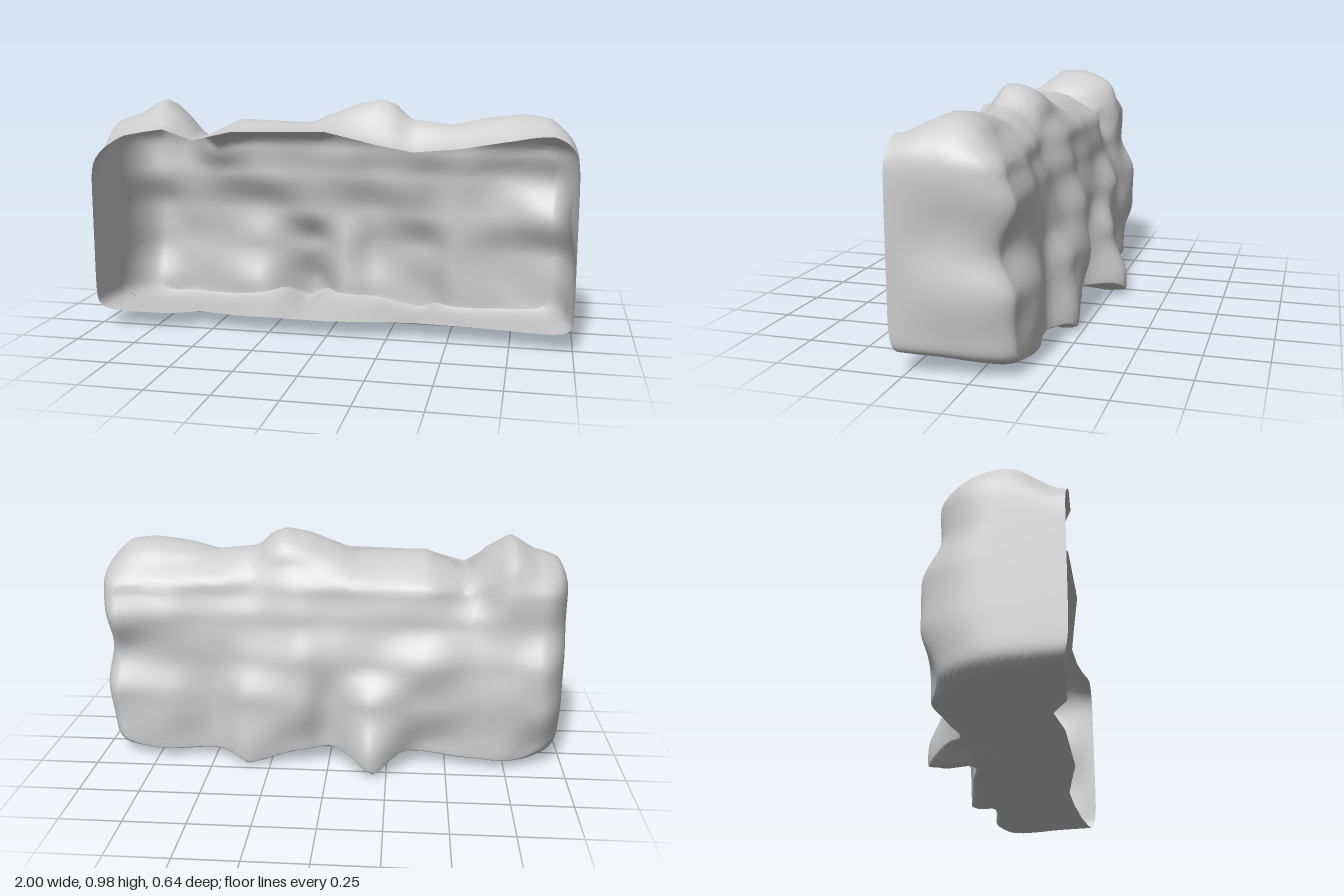
import * as THREE from 'three';

// Smooth or straight interpolation through a short list of values
function lookup(xs, ys, x, smooth = false) {
  if (x <= xs[0]) return ys[0];
  for (let i = 1; i < xs.length; i++) {
    if (x <= xs[i]) {
      let t = (x - xs[i - 1]) / (xs[i] - xs[i - 1]);
      if (smooth) t = t * t * (3 - 2 * t);
      return ys[i - 1] + (ys[i] - ys[i - 1]) * t;
    }
  }
  return ys[ys.length - 1];
}

// Crest and foot of the rock along its length
const TOP_X = [-1, -0.96, -0.85, -0.75, -0.65, -0.57, -0.4, -0.1, 0, 0.1, 0.2, 0.26, 0.32, 0.5, 0.62, 0.78, 0.9, 1];
const TOP_Y = [0.85, 0.9, 0.92, 0.98, 0.91, 0.82, 0.9, 0.89, 0.93, 0.97, 0.99, 0.97, 0.91, 0.89, 0.92, 0.94, 0.93, 0.87];
const FOOT_X = [-1, -0.85, -0.55, -0.4, -0.3, -0.2, -0.11, 0, 0.15, 0.25, 0.34, 0.41, 0.6, 0.75, 0.9, 1];
const FOOT_Y = [0.06, 0.03, 0.035, 0.05, 0.07, 0.005, 0.06, 0.065, 0.05, 0.02, 0, 0.035, 0.03, 0.03, 0.04, 0.07];

// Open front rim: upper edge and depth
const RIM_X = [-1, -0.93, -0.85, -0.68, -0.57, -0.4, 0, 0.2, 0.35, 0.55, 0.75, 0.9, 1];
const RIM_Y = [0.79, 0.82, 0.85, 0.87, 0.82, 0.86, 0.87, 0.82, 0.79, 0.81, 0.85, 0.89, 0.89];
const RIM_Z = [0.31, 0.315, 0.315, 0.31, 0.25, 0.28, 0.29, 0.26, 0.24, 0.25, 0.27, 0.295, 0.3];

// Depth of the lumpy back, one row per height
const BACK_X = [-0.9, -0.75, -0.6, -0.4, -0.18, 0, 0.12, 0.35, 0.5, 0.7, 0.9];
const BACK_Y = [0.1, 0.3, 0.46, 0.64, 0.76, 0.87];
const BACK_Z = [
  [-0.15, -0.19, -0.17, -0.15, -0.32, -0.16, -0.19, -0.23, -0.14, -0.17, -0.15],
  [-0.21, -0.21, -0.18, -0.20, -0.26, -0.16, -0.23, -0.21, -0.13, -0.18, -0.15],
  [-0.21, -0.19, -0.18, -0.22, -0.18, -0.18, -0.20, -0.15, -0.13, -0.13, -0.09],
  [-0.15, -0.15, -0.13, -0.15, -0.14, -0.14, -0.15, -0.11, -0.12, -0.15, -0.15],
  [-0.15, -0.16, -0.08, -0.13, -0.13, -0.12, -0.12, -0.08, -0.09, -0.11, -0.12],
  [-0.12, -0.14, -0.04, -0.07, -0.08, -0.07, -0.07, -0.04, -0.03, -0.04, -0.05],
];
const backDepth = (x, y) => lookup(BACK_Y, BACK_Z.map(row => lookup(BACK_X, row, x, true)), y, true);

// u and v run from the middle of the back, over the shoulder, to the rim at 1
function shellPoint(u, v) {
  const r = Math.max(Math.abs(u), Math.abs(v), 1e-6);
  const turn = THREE.MathUtils.clamp((r - 0.5) / 0.3, 0, 1) * Math.PI / 2;
  const spread = 0.25 * (1 - Math.sin(turn));
  const k = r < 0.8 ? 0.5 * (1 - Math.cos(turn)) : 0.5 + (r - 0.8) * 2.5;
  const bulge = 1 - THREE.MathUtils.smoothstep(k, 0.5, 1);

  // rounded corners, sharper along the foot
  const du = u / r, dv = v / r;
  const power = dv < 0 ? 20 : 9 + 6 * bulge;
  const round = Math.max(1, Math.abs(du) ** power + Math.abs(dv) ** power) ** (-1 / power);
  // the ends and foot turn in less than the crest
  const reach = amount => Math.min(1, r / 0.5) * (1 - spread * amount) * round;
  const x0 = du * reach(du < 0 ? 0.5 : 0.35);
  const py = dv * reach(dv > 0 ? 1 : 0.25);

  const top = THREE.MathUtils.lerp(lookup(RIM_X, RIM_Y, x0), lookup(TOP_X, TOP_Y, x0), bulge);
  const foot = THREE.MathUtils.lerp(lookup(FOOT_X, FOOT_Y, x0), 0.078, THREE.MathUtils.clamp((k - 0.1) / 0.9, 0, 1));
  const y = 0.46 + py * (py > 0 ? top - 0.46 : 0.46 - foot);

  // shallow dents in one end wall
  const dent = x0 > 0 ? 0.012 * (1 + Math.sin(y * 15)) * x0 ** 6 * bulge : 0;
  const x = x0 * (1 - dent);
  // soft unevenness on the back, fading towards the rim
  const rough = 0.006 * Math.sin(x * 17 + y * 7) * Math.sin(y * 16 - x * 5) * (1 - k);
  const rimZ = lookup(RIM_X, RIM_Z, x) - 0.03 * Math.max(0, -py) ** 8;
  return [x, y, THREE.MathUtils.lerp(backDepth(x, y), rimZ, k) + rough];
}

export function createModel() {
  const group = new THREE.Group();
  group.name = 'hollowRock';
  const NX = 120, NY = 64;
  const positions = [], index = [];
  for (let j = 0; j <= NY; j++) {
    for (let i = 0; i <= NX; i++) {
      positions.push(...shellPoint((i / NX) * 2 - 1, (j / NY) * 2 - 1));
      if (i < NX && j < NY) {
        const a = j * (NX + 1) + i, b = a + 1, c = a + NX + 1, d = c + 1;
        index.push(a, c, b, b, c, d);
      }
    }
  }
  const geometry = new THREE.BufferGeometry();
  geometry.setAttribute('position', new THREE.Float32BufferAttribute(positions, 3));
  geometry.setIndex(index);
  geometry.computeVertexNormals();
  const material = new THREE.MeshStandardMaterial({ color: 0xcccccc, side: THREE.DoubleSide });
  const shell = new THREE.Mesh(geometry, material);
  shell.name = 'rockShell';
  group.add(shell);
  return group;
}
